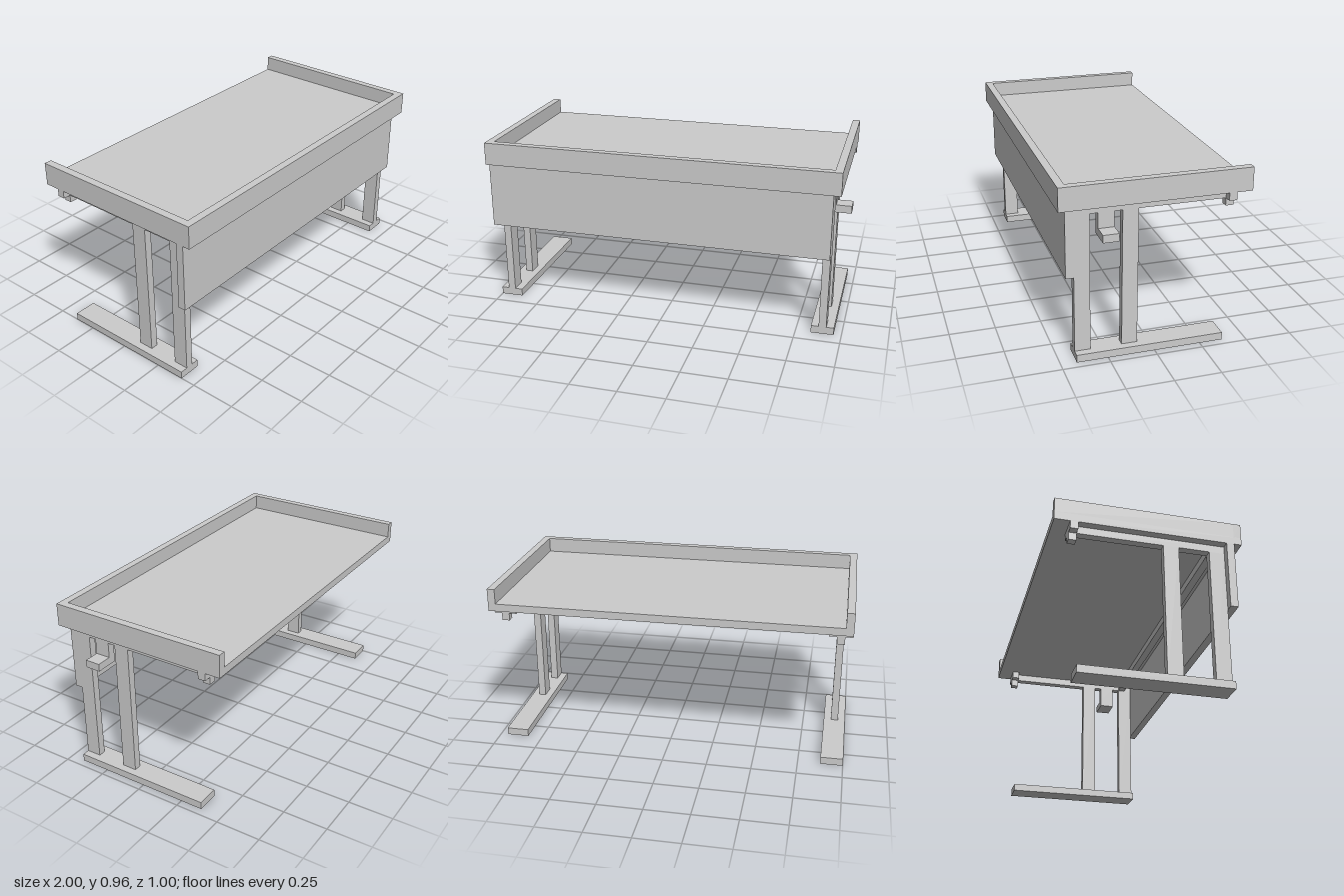
import * as THREE from 'three';

// All sizes lie on a grid of 1/24 unit.
const U = 1 / 24;
const material = new THREE.MeshStandardMaterial({ color: 0xcccccc, flatShading: true });

// Box spanning the given ranges, in grid steps.
function block(parent, name, [x0, x1], [y0, y1], [z0, z1]) {
  const geometry = new THREE.BoxGeometry((x1 - x0) * U, (y1 - y0) * U, (z1 - z0) * U);
  const mesh = new THREE.Mesh(geometry, material);
  mesh.position.set((x0 + x1) * U / 2, (y0 + y1) * U / 2, (z0 + z1) * U / 2);
  mesh.name = name;
  parent.add(mesh);
}

// Foot, two posts, top rail and rear stop, centred on x = c.
function sideFrame(name, c) {
  const frame = new THREE.Group();
  frame.name = name;
  const thin = [c - 0.5, c + 0.5];
  const wide = [c - 1.5, c + 1.5];
  block(frame, 'foot', wide, [0, 1], [-9, 10]);
  block(frame, 'frontLeg', thin, [1, 19], [8, 10]);
  block(frame, 'rearLeg', thin, [1, 19], [2, 4]);
  block(frame, 'topRail', thin, [19, 20], [-9, 10]);
  block(frame, 'rearStopBar', wide, [19, 20], [-10, -9]);
  block(frame, 'rearStopPeg', thin, [18, 19], [-10, -9]);
  return frame;
}

export function createModel() {
  const desk = new THREE.Group();
  desk.name = 'desk';

  // Top board with a raised rim on three sides, open at the back
  const top = new THREE.Group();
  top.name = 'deskTop';
  block(top, 'board', [-24, 23], [20, 21], [-12, 12]);
  block(top, 'frontRim', [-24, 23], [21, 23], [11, 12]);
  block(top, 'rightRim', [-24, -23], [21, 23], [-12, 11]);
  block(top, 'leftRim', [22, 23], [21, 23], [-12, 11]);
  desk.add(top);

  // Side frames
  desk.add(sideFrame('rightFrame', -22.5), sideFrame('leftFrame', 21.5));

  // Front panel and the bar joining the frames
  block(desk, 'frontPanel', [-24, 22], [11, 20], [10, 11]);
  block(desk, 'crossBar', [-22, 21], [19, 20], [8, 9]);

  // Control handle hanging from the left rail
  const handle = new THREE.Group();
  handle.name = 'controlHandle';
  block(handle, 'handleStem', [21, 22], [17, 19], [5, 7]);
  block(handle, 'handlePlate', [21, 24], [16, 17], [5, 7]);
  desk.add(handle);

  return desk;
}
